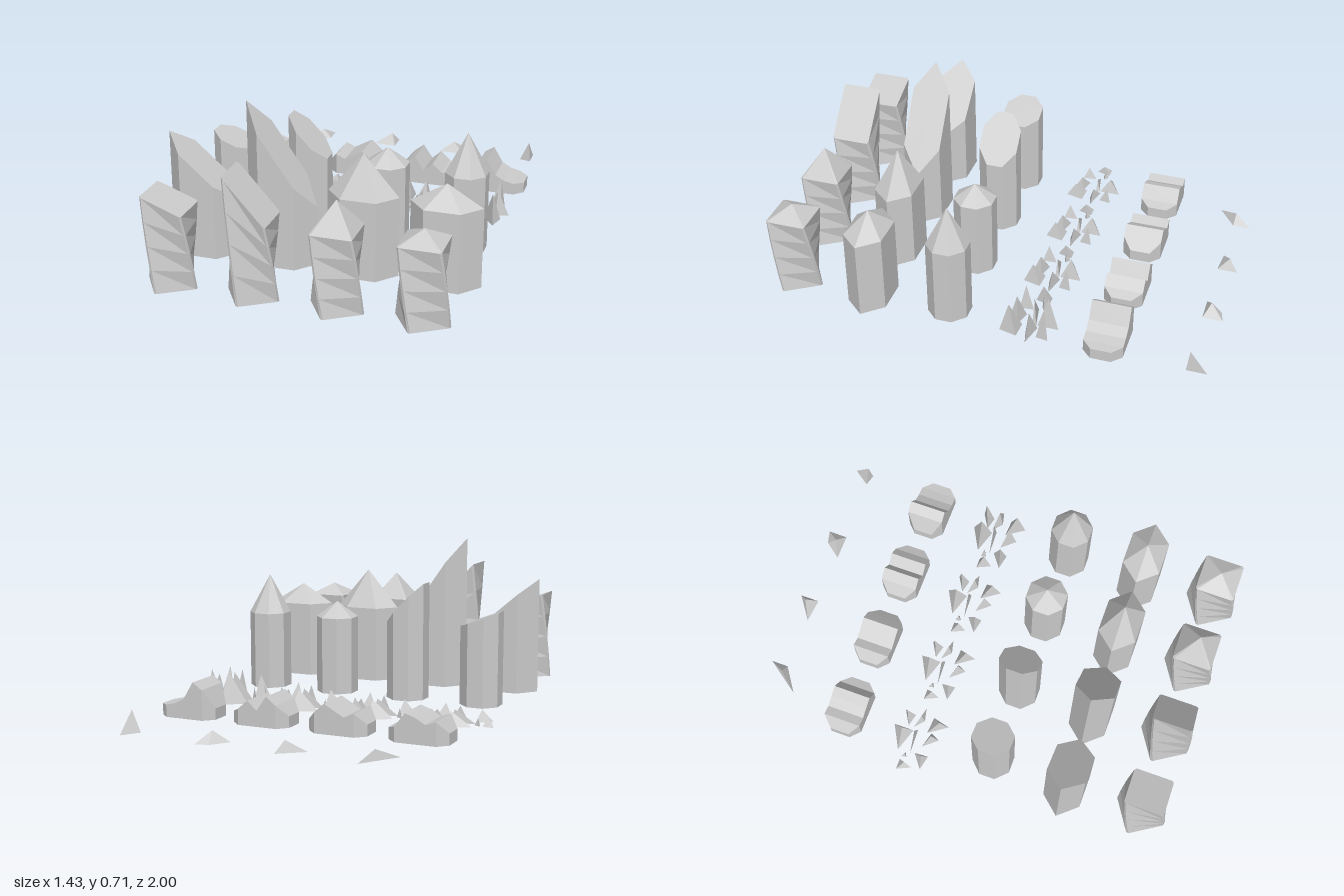
import * as THREE from 'three';

const material = new THREE.MeshStandardMaterial({ color: 0xcccccc, flatShading: true, side: THREE.DoubleSide });
const columns = [-0.515, -0.155, 0.205, 0.562];

function meshFrom(name, triangles, x, z) {
  const geometry = new THREE.BufferGeometry();
  geometry.setAttribute('position', new THREE.Float32BufferAttribute(triangles.flat(2), 3));
  geometry.computeVertexNormals();
  const mesh = new THREE.Mesh(geometry, material);
  mesh.name = name;
  mesh.position.set(x, 0, z);
  return mesh;
}

// Wall between two rings of points that run from +x towards +z
function wall(lower, upper) {
  const out = [];
  lower.forEach((b0, i) => {
    const j = (i + 1) % lower.length;
    out.push([b0, upper[i], upper[j]], [b0, upper[j], lower[j]]);
  });
  return out;
}

// Cap joining a ring to one point
function fan(ring, apex) {
  return ring.map((p, i) => [apex, ring[(i + 1) % ring.length], p]);
}

// Open-bottomed crystal; the outline may turn on its way down
function crystal(name, outline, top, x, z, { base = 0, twist = 0, rings = 1 } = {}) {
  const ringAt = (t) => {
    const a = twist * (1 - t), c = Math.cos(a), s = Math.sin(a);
    return outline.map(([px, pz]) =>
      [px * c - pz * s, base + (top.height(px) - base) * t, px * s + pz * c]);
  };
  const triangles = [];
  for (let i = 0; i < rings; i++) triangles.push(...wall(ringAt(i / rings), ringAt((i + 1) / rings)));
  triangles.push(...fan(ringAt(1), [0, top.apex, 0]));
  return meshFrom(name, triangles, x, z);
}

// Two kinds of top: a slanted cut and a point
const slant = (high, low, half) => ({
  height: (x) => (high + low) / 2 - (x / half) * (high - low) / 2,
  apex: (high + low) / 2,
});
const point = (apex, eave = 0.358) => ({ height: () => eave, apex });

// Spike over a ground polygon
function shard(name, corners, apex, x, z) {
  const ring = corners.map(([px, pz]) => [px, 0, pz]);
  const area = corners.reduce((s, p, i) => {
    const q = corners[(i + 1) % corners.length];
    return s + p[0] * q[1] - q[0] * p[1];
  }, 0);
  if (area < 0) ring.reverse();
  return meshFrom(name, fan(ring, apex), x, z);
}

// Low rock: an eight-sided plan with a ridged top, profile given as [x, height]
function rock(name, profile, x, z) {
  const half = (px) => Math.abs(px) > 0.1 ? 0.045 : 0.087;
  const front = profile.map(([px, h]) => [px, h, half(px)]);
  const back = profile.map(([px, h]) => [px, h, -half(px)]);
  const ring = [...front].reverse().concat(back);
  const triangles = wall(ring.map(([px, , pz]) => [px, 0, pz]), ring);
  for (let i = 0; i < profile.length - 1; i++) {
    triangles.push([front[i], front[i + 1], back[i + 1]], [front[i], back[i + 1], back[i]]);
  }
  return meshFrom(name, triangles, x, z);
}

export function createModel() {
  const model = new THREE.Group();
  model.name = 'crystalSet';
  const addRow = (name, make) => {
    const row = new THREE.Group();
    row.name = name;
    columns.forEach((x, i) => row.add(make(x, i)));
    model.add(row);
  };

  // Twisted square crystals with narrow bevelled corners
  const a = 0.09, b = 0.082;
  const square = [[a, -b], [a, b], [b, a], [-b, a], [-a, b], [-a, -b], [-b, -a], [b, -a]];
  const squareTops = [slant(0.422, 0.355, a), slant(0.555, 0.355, a), point(0.482, 0.355), point(0.41, 0.355)];
  addRow('twistedCrystals', (x, i) => crystal('twistedCrystal', square, squareTops[i], x, 0.88,
    { base: 0.01, twist: -0.57, rings: 4 }));

  // Wide six-sided crystals
  const hex = [[0.155, 0], [0.078, 0.088], [-0.078, 0.088], [-0.155, 0], [-0.078, -0.088], [0.078, -0.088]];
  const hexTops = [slant(0.538, 0.27, 0.155), slant(0.715, 0.27, 0.155), point(0.538), point(0.45)];
  addRow('wideCrystals', (x, i) => crystal('wideCrystal', hex, hexTops[i], x, 0.522));

  // Slim eight-sided crystals
  const octagon = Array.from({ length: 8 }, (_, i) => {
    const t = (i - 0.5) * Math.PI / 4, r = 0.09 / Math.cos(Math.PI / 8);
    return [r * Math.cos(t), r * Math.sin(t)];
  });
  const octagonTops = [slant(0.43, 0.36, 0.09), slant(0.54, 0.355, 0.09), point(0.43), point(0.538)];
  addRow('slimCrystals', (x, i) => crystal('slimCrystal', octagon, octagonTops[i], x, 0.16));

  // Clusters of small shards: three ground corners and the tip of each
  const cluster = [
    [[-0.2, -0.05], [-0.15, -0.05], [-0.17, 0.015], [-0.165, -0.02], 0.6],
    [[-0.135, -0.05], [-0.11, -0.035], [-0.13, -0.025], [-0.125, -0.035], 0.5],
    [[-0.11, -0.075], [0, -0.135], [0.0, -0.04], [-0.02, -0.085], 1],
    [[0.015, -0.07], [0.083, -0.11], [0.075, -0.055], [0.065, -0.09], 1.05],
    [[-0.11, -0.015], [0.0, -0.035], [0.01, -0.02], [-0.015, -0.023], 0.9],
    [[0.015, -0.045], [0.12, -0.02], [0.06, -0.005], [0.065, -0.022], 0.8],
    [[-0.165, 0.055], [-0.1, 0.005], [-0.095, 0.07], [-0.115, 0.045], 0.8],
    [[-0.06, 0.025], [0.015, 0.045], [-0.005, 0.09], [-0.012, 0.055], 0.9],
    [[0.01, 0.025], [0.09, 0.03], [0.07, 0.11], [0.06, 0.07], 0.95],
  ];
  const clusterHeights = [0.065, 0.08, 0.095, 0.145];
  addRow('shardClusters', (x, i) => {
    const group = new THREE.Group();
    group.name = 'shardCluster';
    for (const [p, q, r, tip, k] of cluster) {
      group.add(shard('clusterShard', [p, q, r], [tip[0], k * clusterHeights[i], tip[1]], x, -0.2));
    }
    return group;
  });

  // Low rocks with ridged tops
  const ridgeHeights = [
    [0.05, 0.1, 0.085, 0.11, 0.125, 0.065, 0.05],
    [0.05, 0.1, 0.08, 0.105, 0.13, 0.09, 0.05],
    [0.05, 0.1, 0.135, 0.07, 0.11, 0.07, 0.05],
    [0.05, 0.135, 0.165, 0.09, 0.065, 0.055, 0.05],
  ];
  const stations = [-0.133, -0.09, -0.045, 0, 0.045, 0.09, 0.133];
  addRow('ridgedRocks', (x, i) =>
    rock('ridgedRock', stations.map((s, j) => [s, ridgeHeights[i][j]]), x, -0.555));

  // Single shards: ground corners, then the tip
  const singles = [
    [[[0.09, -1], [0.09, -0.92], [-0.022, -0.842]], [0.05, 0.045, -0.925]],
    [[[-0.022, -0.92], [0.088, -1], [0.088, -0.91]], [0.06, 0.05, -0.96]],
    [[[-0.028, -0.91], [0.03, -0.985], [0.089, -1], [0.089, -0.91]], [0.04, 0.05, -0.94]],
    [[[0.035, -0.925], [0.088, -1], [0.088, -0.91]], [0.078, 0.095, -0.922]],
  ];
  addRow('singleShards', (x, i) => shard('singleShard', singles[i][0], singles[i][1], x, 0));

  return model;
}
